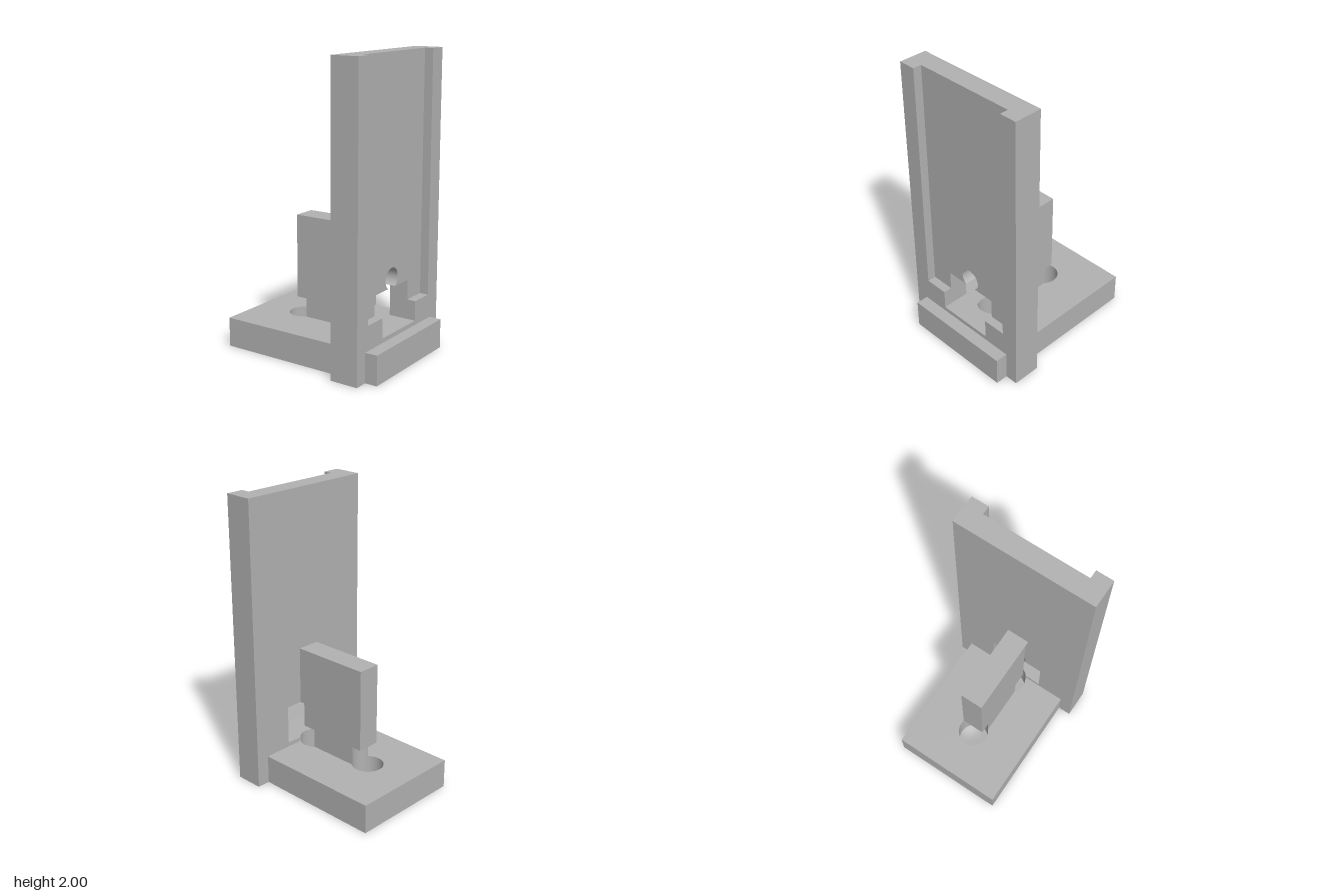
import * as THREE from 'three';
import { toCreasedNormals } from 'three/addons/utils/BufferGeometryUtils.js';

const BORE_X = 0.247, BORE_R = 0.106;          // vertical bolt holes
const PIN_Y = 0.56, PIN_R = 0.073;             // horizontal blind hole
const PIN_CHORD = Math.asin((PIN_Y - 0.5) / PIN_R); // where it breaks into the window
const RIB = 0.08;                              // half thickness of the rib

export function createModel() {
  const group = new THREE.Group();
  const grey = new THREE.MeshStandardMaterial({ color: 0xb2b2b2 });
  grey.name = 'grey';

  const poly = (pts) => new THREE.Shape(pts.map(([x, y]) => new THREE.Vector2(x, y)));
  const circle = (x, y, r) => new THREE.Path().absarc(x, y, r, 0, Math.PI * 2, true);

  function extrude(name, shape, from, to, axis) {
    const raw = new THREE.ExtrudeGeometry(shape, { depth: to - from, bevelEnabled: false, curveSegments: 32 });
    const geo = toCreasedNormals(raw, 0.6);
    geo.translate(0, 0, from);
    if (axis === 'x') geo.rotateY(Math.PI / 2);
    else geo.rotateX(-Math.PI / 2);
    const mesh = new THREE.Mesh(geo, grey);
    mesh.name = name;
    group.add(mesh);
  }

  // Base with the foot of the upright merged in and two through holes
  const base = poly([
    [-0.59, -0.395], [0.31, -0.395], [0.31, -0.485], [0.505, -0.485], [0.505, -0.395], [0.59, -0.395],
    [0.59, 0.395], [0.505, 0.395], [0.505, 0.485], [0.31, 0.485], [0.31, 0.395], [-0.59, 0.395],
  ]);
  for (const s of [-1, 1]) base.holes.push(circle(s * BORE_X, 0, BORE_R));
  extrude('base', base, 0, 0.2, 'y');

  // Window sill, notched by the bolt hole
  const sillAngle = Math.acos((0.31 - BORE_X) / BORE_R);
  const sill = poly([[0.31, -0.485], [0.505, -0.485], [0.505, 0.485], [0.31, 0.485]]);
  sill.absarc(BORE_X, 0, BORE_R, sillAngle, -sillAngle, true);
  extrude('windowSill', sill, 0.2, 0.23, 'y');

  // Upright: back layer with window and pin hole
  const back = poly([[-0.485, 0.23], [-0.2, 0.23], [-0.2, 0.5]]);
  back.absarc(0, PIN_Y, PIN_R, Math.PI + PIN_CHORD, -PIN_CHORD, true);
  for (const [x, y] of [[0.2, 0.5], [0.2, 0.23], [0.485, 0.23], [0.485, 2], [-0.485, 2]]) back.lineTo(x, y);
  extrude('uprightPanel', back, 0.31, 0.445, 'x');

  // Raised side rails framing the recess
  for (const s of [-1, 1]) {
    const rail = poly([
      [s * 0.2, 0.23], [s * 0.485, 0.23], [s * 0.485, 2],
      [s * 0.365, 2], [s * 0.365, 0.365], [s * 0.2, 0.365],
    ]);
    extrude(s < 0 ? 'leftRail' : 'rightRail', rail, 0.445, 0.505, 'x');
  }

  // Rib foot, scooped at both ends by the bolt holes
  const a = Math.asin(RIB / BORE_R);
  const foot = new THREE.Shape();
  foot.absarc(BORE_X, 0, BORE_R, Math.PI + a, Math.PI - a, true);
  foot.absarc(-BORE_X, 0, BORE_R, a, -a, true);
  extrude('ribFoot', foot, 0.2, 0.33, 'y');

  // Rib: solid part, drilled part, and the neck joining the upright
  const ribSection = () => poly([[-RIB, 0.33], [RIB, 0.33], [RIB, 0.9], [-RIB, 0.9]]);
  extrude('rib', ribSection(), -0.25, 0.1, 'x');
  const drilled = ribSection();
  drilled.holes.push(circle(0, PIN_Y, PIN_R));
  extrude('ribDrilled', drilled, 0.1, 0.275, 'x');

  const neck = poly([[-RIB, 0.5]]);
  neck.absarc(0, PIN_Y, PIN_R, Math.PI + PIN_CHORD, -PIN_CHORD, true);
  for (const [x, y] of [[RIB, 0.5], [RIB, 0.9], [-RIB, 0.9]]) neck.lineTo(x, y);
  extrude('ribNeck', neck, 0.275, 0.31, 'x');

  return group;
}
